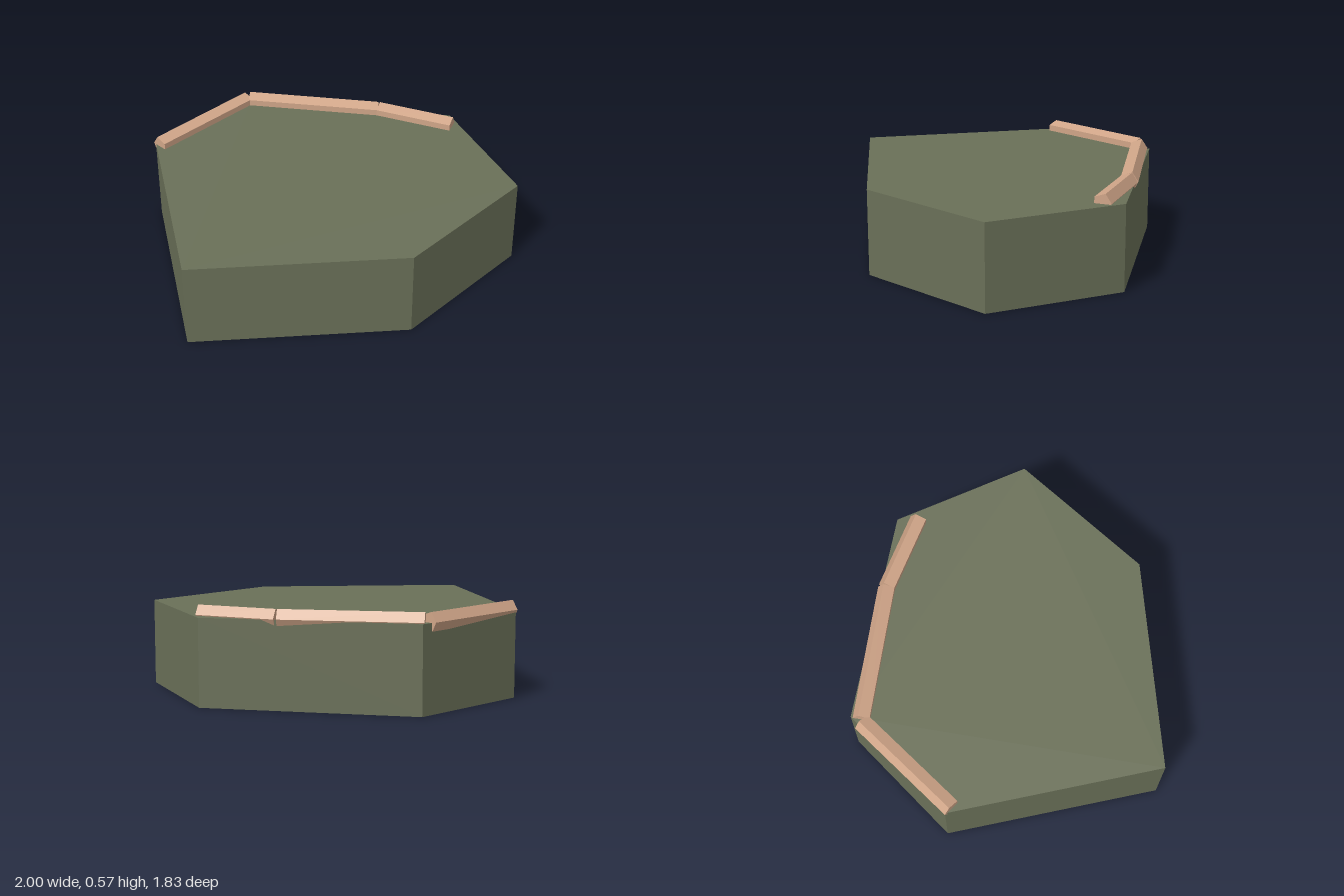
import * as THREE from 'three';

const olive = new THREE.MeshStandardMaterial({ color: 0x6a7058 });
olive.name = 'olive slab';
const tan = new THREE.MeshStandardMaterial({ color: 0xd0a588 });
tan.name = 'tan rim';

const toShape = (points) => new THREE.Shape(points.map(([x, y]) => new THREE.Vector2(x, y)));

// Irregular six-sided slab, outline given as x, z
function makeSlab() {
  const outline = [[-0.99, 0.76], [0.245, 0.915], [1, 0.385], [0.825, -0.43], [-0.33, -0.915], [-0.99, -0.5]];
  const shape = toShape(outline.map(([x, z]) => [x, -z]));
  const geometry = new THREE.ExtrudeGeometry(shape, { depth: 0.507, bevelEnabled: false });
  geometry.rotateX(-Math.PI / 2);
  const slab = new THREE.Mesh(geometry, olive);
  slab.name = 'slab';
  return slab;
}

// Rim section: x runs inward from the outer edge, y is height
const rimSection = toShape([[0, 0.512], [0.025, 0.46], [0.1, 0.46], [0.1, 0.544], [0.036, 0.566]]);

// Straight rim length, laid between two points on its outer edge
function makeRim(name, [x0, z0], [x1, z1]) {
  const dx = x1 - x0, dz = z1 - z0;
  const geometry = new THREE.ExtrudeGeometry(rimSection, { depth: Math.hypot(dx, dz), bevelEnabled: false });
  const rim = new THREE.Mesh(geometry, tan);
  rim.name = name;
  rim.position.set(x1, 0, z1);
  rim.rotation.y = Math.atan2(-dx, -dz);
  return rim;
}

export function createModel() {
  const model = new THREE.Group();
  model.name = 'edgedPlatform';
  model.add(
    makeSlab(),
    makeRim('rightRim', [-1, -0.502], [-0.405, -0.902]),
    makeRim('backRim', [-0.34, -0.905], [0.42, -0.62]),
    makeRim('leftRim', [0.435, -0.612], [0.83, -0.347]),
  );
  return model;
}
